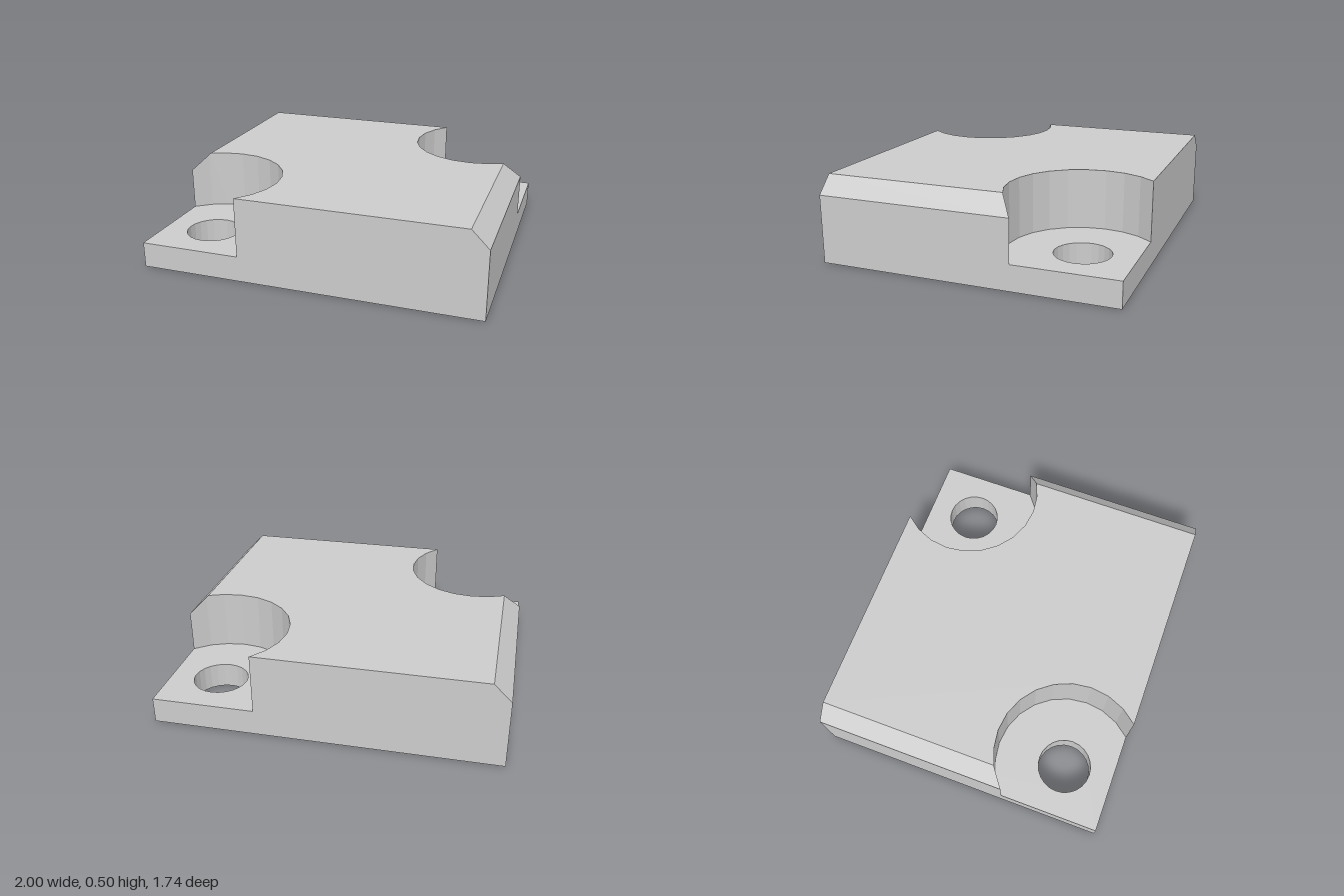
import * as THREE from 'three';

const W = 1, D = 0.87, H = 0.5, FLOOR = 0.15, BEVEL = 0.1;
const CX = 0.7, CZ = -0.57, POCKET_R = 0.3 * Math.SQRT2, HOLE_R = 0.16;
const EDGE = W - BEVEL;

const material = new THREE.MeshStandardMaterial({ color: 0xcccccc, flatShading: true });
const topAt = (x) => Math.min(H, H + EDGE - Math.abs(x));
const spin = (pts) => pts.map(([x, z, ...rest]) => [-x, -z, ...rest]);

// Points [x, z] round the mounting centre, angles in degrees
const ring = (r, angles) => angles.map((a) => {
  const t = THREE.MathUtils.degToRad(a);
  return [CX + r * Math.cos(t), CZ + r * Math.sin(t)];
});

// Horizontal face; height is a function of x
function cap(outline, holes, height, up = true) {
  const s = up ? -1 : 1;
  const to2 = (pts) => pts.map(([x, z]) => new THREE.Vector2(x, s * z));
  const shape = new THREE.Shape(to2(outline));
  shape.holes = holes.map((h) => new THREE.Path(to2(h)));
  const g = new THREE.ShapeGeometry(shape).rotateX((s * Math.PI) / 2);
  const p = g.attributes.position;
  for (let i = 0; i < p.count; i++) p.setY(i, height(p.getX(i)));
  g.computeVertexNormals();
  return g;
}

// Upright strip through points [x, z, top], starting at height y0
function wall(pts, y0) {
  const v = [];
  for (let i = 0; i + 1 < pts.length; i++) {
    const [ax, az, at] = pts[i], [bx, bz, bt] = pts[i + 1];
    if (ax === bx && az === bz) continue; // step in height only
    v.push(ax, y0, az, ax, at, az, bx, bt, bz, ax, y0, az, bx, bt, bz, bx, y0, bz);
  }
  const g = new THREE.BufferGeometry();
  g.setAttribute('position', new THREE.Float32BufferAttribute(v, 3));
  g.computeVertexNormals();
  return g;
}

export function createModel() {
  const group = new THREE.Group();
  const add = (name, geometry) => {
    const mesh = new THREE.Mesh(geometry, material);
    mesh.name = name;
    group.add(mesh);
  };

  // Pocket arc from the back edge round to the side, with a point on the bevel line
  const bevelAngle = THREE.MathUtils.radToDeg(Math.acos((EDGE - CX) / POCKET_R));
  const angles = [];
  for (let a = 225; a >= 75; a -= 15) angles.push(a);
  const arc = ring(POCKET_R, [...angles, bevelAngle, 60, 45]);
  arc[0] = [arc[0][0], -D];
  arc[arc.length - 1][0] = W;
  const hole = ring(HOLE_R, Array.from({ length: 25 }, (_, i) => -15 * i));
  const holeLoop = hole.slice(0, -1);
  const topArc = arc.slice(0, -2), bevelArc = arc.slice(-3);
  const sideZ = arc[arc.length - 1][1], frontX = -arc[0][0];

  // Underside
  add('underside', cap([[-W, -D], [W, -D], [W, D], [-W, D]],
    [holeLoop, spin(holeLoop)], () => 0, false));

  // Raised top face between the two pockets
  const topHalf = [...topArc, [EDGE, D]];
  add('topFace', cap([...topHalf, ...spin(topHalf)], [], () => H));

  // Outer walls, half way round and then turned
  const half = [
    [W, -D, FLOOR], [W, sideZ, FLOOR], [W, sideZ, H - BEVEL], [W, D, H - BEVEL],
    [EDGE, D, H], [frontX, D, H], [frontX, D, FLOOR], [-W, D, FLOOR],
  ];
  add('outerWalls', wall([...half, ...spin(half)], 0));

  // Bevels, corner pockets and bolt holes, one of each per side
  for (const [side, place] of [['left', (p) => p], ['right', spin]]) {
    add(side + 'Bevel', cap(place([...bevelArc, [W, D], [EDGE, D]]), [], topAt));
    add(side + 'PocketFloor', cap(place([...arc, [W, -D]]), [place(holeLoop)], () => FLOOR));
    add(side + 'PocketWall', wall(place(arc.map(([x, z]) => [x, z, topAt(x)])), FLOOR));
    add(side + 'BoltHole', wall(place(hole.map(([x, z]) => [x, z, FLOOR])), 0));
  }
  return group;
}
